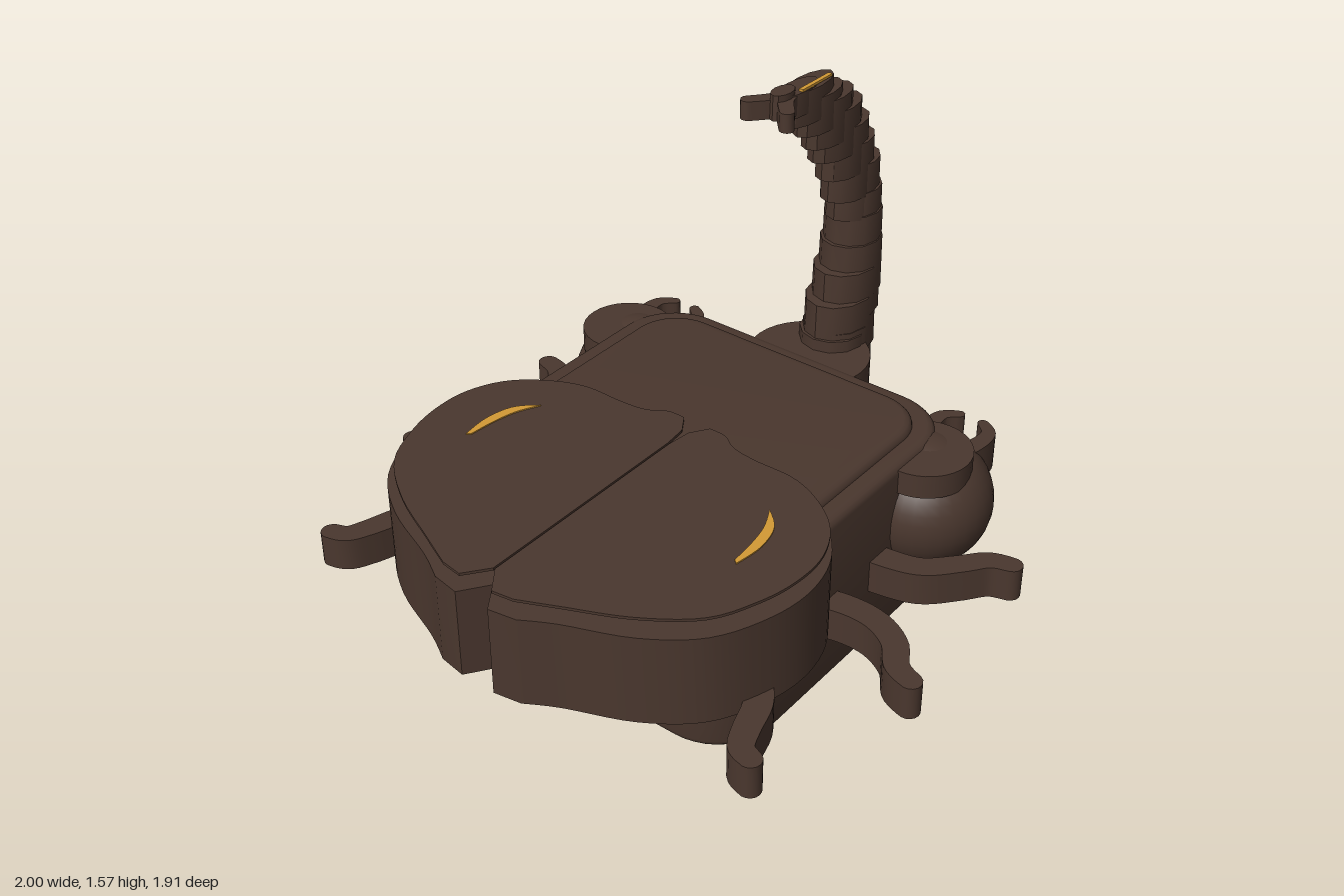
import * as THREE from 'three';
import { toCreasedNormals } from 'three/addons/utils/BufferGeometryUtils.js';

const shellBrown = new THREE.MeshStandardMaterial({ color: 0x4a372e });
shellBrown.name = 'shellBrown';
const gold = new THREE.MeshStandardMaterial({ color: 0xd39a35 });
gold.name = 'gold';

const V2 = (p) => new THREE.Vector2(p[0], p[1]);

// Smooth list of [x, z] points through the given ones
function smooth(points, n = 40) {
  return new THREE.SplineCurve(points.map(V2)).getPoints(n).map((p) => [p.x, p.y]);
}

// Upright slab with a plan outline in [x, z] between two heights
function slab(outline, y0, y1, bevel = 0) {
  const shape = new THREE.Shape(outline.map(([x, z]) => new THREE.Vector2(x, -z)));
  const geo = new THREE.ExtrudeGeometry(shape, {
    depth: y1 - y0 - bevel, bevelEnabled: bevel > 0, bevelThickness: bevel,
    bevelSize: bevel, bevelOffset: -bevel, bevelSegments: 3,
  });
  geo.rotateX(-Math.PI / 2).translate(0, y0, 0);
  return toCreasedNormals(geo, 0.6);
}

// Rounded rectangle outline in plan
function roundedRect(hx, z0, z1, r) {
  const out = [];
  [[hx - r, z1 - r], [r - hx, z1 - r], [r - hx, z0 + r], [hx - r, z0 + r]].forEach(([x, z], k) => {
    for (let i = 0; i <= 10; i++) {
      const a = (k + i / 10) * Math.PI / 2;
      out.push([x + r * Math.cos(a), z + r * Math.sin(a)]);
    }
  });
  return out;
}

// Round-ended band following a plan path
function band(path, w0, w1, n = 24) {
  const curve = new THREE.SplineCurve(path.map(V2));
  const left = [], right = [], cap = [];
  for (let i = 0; i <= n; i++) {
    const p = curve.getPoint(i / n), t = curve.getTangent(i / n);
    const h = (w0 + (w1 - w0) * i / n) / 2;
    left.push([p.x - t.y * h, p.y + t.x * h]);
    right.unshift([p.x + t.y * h, p.y - t.x * h]);
    if (i === n) {
      const a0 = Math.atan2(t.x, -t.y);
      for (let k = 1; k < 8; k++) {
        const a = a0 - k * Math.PI / 8;
        cap.push([p.x + h * Math.cos(a), p.y + h * Math.sin(a)]);
      }
    }
  }
  return [...left, ...cap, ...right];
}

const mirror = (outline, s) => outline.map(([x, z]) => [x * s, z]);

export function createModel() {
  const model = new THREE.Group();
  const add = (name, geo, mat = shellBrown) => {
    const mesh = new THREE.Mesh(geo, mat);
    mesh.name = name;
    model.add(mesh);
    return mesh;
  };

  // Body block and raised back panel
  add('body', slab(roundedRect(0.585, -0.61, 0.56, 0.2), 0, 0.565, 0.025));
  add('backPanel', slab(roundedRect(0.52, -0.55, 0.55, 0.16), 0.55, 0.587, 0.025));

  // Deep wing shell with a notch at the end
  const side = smooth([[0.4, 0.07], [0.56, 0.09], [0.66, 0.2], [0.7, 0.35], [0.68, 0.51],
    [0.6, 0.68], [0.45, 0.8], [0.25, 0.885], [0.15, 0.94]]);
  const halfShell = [...side, [0.06, 0.955], [0, 0.87]];
  const shell = [...halfShell, ...mirror(halfShell.slice(0, -1), -1).reverse()];
  add('wingShell', slab(shell, 0.25, 0.548));

  // Thin wing covers
  const rear = smooth([[0.05, -0.038], [0.11, -0.035], [0.17, 0], [0.26, 0.012], [0.4, 0.015],
    [0.52, 0.065], [0.62, 0.15], [0.675, 0.27], [0.68, 0.4], [0.65, 0.53], [0.58, 0.67],
    [0.43, 0.785], [0.25, 0.87], [0.13, 0.925]], 60);
  const cover = [[0.003, 0.1], [0.012, 0.02], ...rear, [0.06, 0.935], [0.003, 0.86]];
  const crescent = [...smooth([[0.435, 0.185], [0.495, 0.245], [0.518, 0.34], [0.508, 0.44]].map(([x, z]) => [x, z]), 14),
    ...smooth([[0.495, 0.43], [0.487, 0.34], [0.47, 0.26], [0.437, 0.19]], 14)];

  // Legs: curved bands, mirrored
  const legs = {
    rearLeg: [[0.5, -0.17], [0.62, -0.18], [0.72, -0.21], [0.8, -0.29], [0.86, -0.36], [0.925, -0.383]],
    middleLeg: [[0.5, 0.12], [0.62, 0.08], [0.74, 0.08], [0.84, 0.13], [0.9, 0.21], [0.965, 0.24]],
    frontLeg: [[0.52, 0.48], [0.62, 0.5], [0.685, 0.57], [0.72, 0.67], [0.75, 0.735], [0.797, 0.757]],
  };
  // Small pincers on each eye
  const pincers = [
    [[0.645, -0.54], [0.66, -0.61], [0.655, -0.67], [0.615, -0.705]],
    [[0.505, -0.54], [0.485, -0.61], [0.49, -0.67], [0.53, -0.705]],
  ];
  const glint = smooth([[0.505, -0.475], [0.53, -0.49], [0.553, -0.478], [0.55, -0.46], [0.53, -0.45], [0.505, -0.475]], 20).slice(0, -1);

  for (const s of [1, -1]) {
    const tag = s > 0 ? 'left' : 'right';
    add(tag + 'WingCover', slab(mirror(cover, s), 0.59, 0.599));
    add(tag + 'WingCrescent', slab(mirror(crescent, s), 0.597, 0.603), gold);
    for (const [name, path] of Object.entries(legs)) {
      add(`${tag} ${name}`, slab(mirror(band(path, 0.095, 0.07), s), 0.18, 0.29));
    }
    // Eye ball, cap, pincers and glint
    add(tag + 'Eye', new THREE.SphereGeometry(0.215, 32, 20)).position.set(s * 0.57, 0.345, -0.45);
    add(tag + 'EyeCap', new THREE.CylinderGeometry(0.15, 0.15, 0.08, 32)).position.set(s * 0.58, 0.512, -0.41);
    for (const p of pincers) add(tag + 'Pincer', slab(mirror(band(p, 0.065, 0.035, 12), s), 0.38, 0.5));
    add(tag + 'EyeGlint', slab(mirror(glint, s), 0.551, 0.557), gold);
    // Forked horn tip
    add(tag + 'HornProng', slab(mirror(band([[0.01, -0.46], [0.025, -0.42], [0.07, -0.365]], 0.05, 0.045, 8), s), 1.47, 1.53));
  }

  // Horn socket
  add('hornSocket', new THREE.CylinderGeometry(0.2, 0.2, 0.29, 32)).position.set(0, 0.415, -0.63);

  // Horn of overlapping rings: bottom, top, front z, back z, half width
  const rings = [
    [0.37, 0.6, -0.65, -0.88, 0.112], [0.43, 0.62, -0.66, -0.92, 0.111], [0.53, 0.72, -0.66, -0.94, 0.108],
    [0.65, 0.82, -0.7, -0.955, 0.104], [0.72, 0.91, -0.735, -0.96, 0.1], [0.8, 1.01, -0.75, -0.955, 0.094],
    [0.9, 1.09, -0.755, -0.95, 0.087], [1.0, 1.19, -0.74, -0.94, 0.08], [1.08, 1.27, -0.7, -0.91, 0.074],
    [1.17, 1.34, -0.66, -0.88, 0.069], [1.25, 1.41, -0.61, -0.84, 0.064], [1.31, 1.46, -0.57, -0.79, 0.059],
    [1.37, 1.49, -0.52, -0.735, 0.053], [1.42, 1.53, -0.46, -0.69, 0.046], [1.46, 1.535, -0.42, -0.61, 0.04],
    [1.47, 1.55, -0.39, -0.49, 0.03],
  ];
  rings.forEach(([y0, y1, zf, zb, rx], i) => {
    const geo = new THREE.CylinderGeometry(0.97, 1, y1 - y0, 12);
    geo.scale(rx, 1, (zf - zb) / 2);
    add('hornRing' + (i + 1), toCreasedNormals(geo, 0.6)).position.set(0, (y0 + y1) / 2, (zf + zb) / 2);
  });

  // Gold streak on the horn
  add('hornStreak', new THREE.BoxGeometry(0.014, 0.008, 0.15), gold).position.set(0.03, 1.54, -0.565);

  return model;
}
